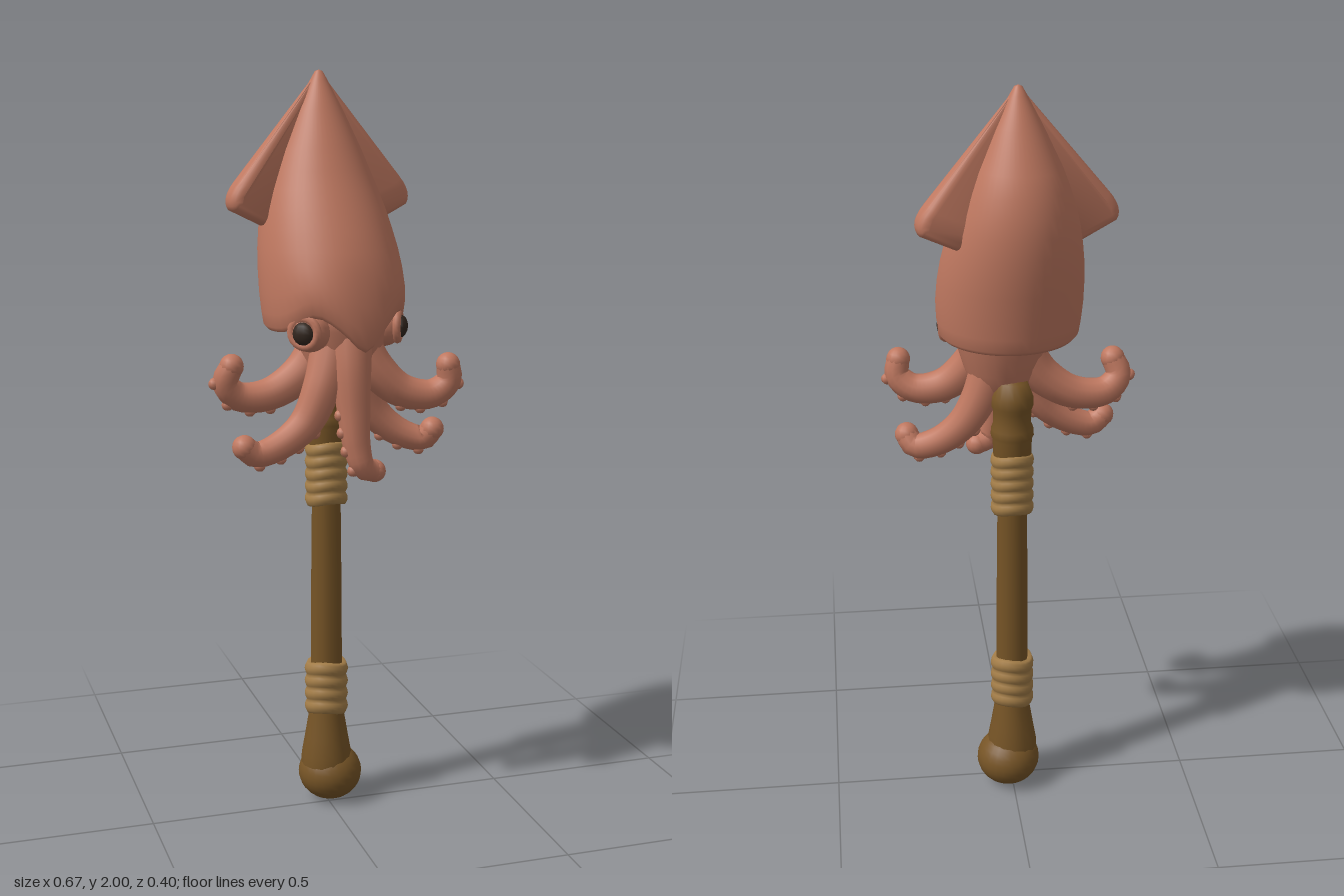
import * as THREE from 'three';
import { mergeVertices, toCreasedNormals } from 'three/addons/utils/BufferGeometryUtils.js';

const mat = (name, color) => {
  const m = new THREE.MeshStandardMaterial({ color });
  m.name = name;
  return m;
};
const skin = mat('salmon skin', 0xbf7860);
const wood = mat('brown wood', 0x765426);
const cord = mat('tan cord', 0xa37d48);
const dark = mat('dark eye', 0x33271f);

const V = (x, y, z) => new THREE.Vector3(x, y, z);

function add(parent, name, geometry, material) {
  const m = new THREE.Mesh(geometry, material);
  m.name = name;
  parent.add(m);
  return m;
}

// Lathe from [radius, y] pairs listed bottom to top, seam at the back
const lathe = (pts, sides = 24) =>
  new THREE.LatheGeometry(pts.map(p => new THREE.Vector2(p[0], p[1])), sides, Math.PI);

// Moves every vertex by a rule, then welds and smooths
function warp(geometry, rule) {
  const p = geometry.attributes.position, v = V(0, 0, 0);
  for (let i = 0; i < p.count; i++) {
    rule(v.fromBufferAttribute(p, i));
    p.setXYZ(i, v.x, v.y, v.z);
  }
  geometry.deleteAttribute('uv');
  geometry.deleteAttribute('normal');
  const g = mergeVertices(geometry, 1e-4);
  g.computeVertexNormals();
  return g;
}

// Leaning pointed mantle with a scalloped rim that dips at the front
function mantleGeometry() {
  const g = lathe([[0.09, 1.39], [0.15, 1.355], [0.172, 1.345], [0.182, 1.356], [0.187, 1.39], [0.19, 1.44],
    [0.188, 1.5], [0.183, 1.55], [0.174, 1.6], [0.163, 1.65], [0.148, 1.7], [0.13, 1.75], [0.11, 1.8],
    [0.062, 1.9], [0.022, 1.975], [0.01, 1.996], [0, 2]], 48);
  return warp(g, v => {
    const a = Math.abs(Math.atan2(v.x, v.z));
    const w = THREE.MathUtils.clamp((1.52 - v.y) / 0.14, 0, 1);
    const lean = -0.055 + 0.078 * THREE.MathUtils.smoothstep(2 - v.y, 0.2, 0.64);
    v.y += w * (0.045 * Math.exp(-(((a - 0.75) / 0.35) ** 2)) - 0.045 * Math.exp(-((a / 0.25) ** 2)));
    v.z += lean;
  });
}

// Thick rounded fin, thinning toward the top
function finGeometry(side) {
  const s = new THREE.Shape();
  s.moveTo(0, 2);
  s.lineTo(side * 0.235, 1.725);
  s.quadraticCurveTo(side * 0.275, 1.68, side * 0.255, 1.65);
  s.lineTo(side * 0.16, 1.605);
  s.lineTo(0, 1.6);
  const g = new THREE.ExtrudeGeometry(s, { depth: 0.02, bevelThickness: 0.025, bevelSize: 0.025,
    bevelOffset: -0.025, bevelSegments: 4, curveSegments: 6 });
  g.translate(0, 0, -0.01);
  const p = g.attributes.position;
  for (let i = 0; i < p.count; i++) {
    p.setZ(i, p.getZ(i) * THREE.MathUtils.clamp((2.02 - p.getY(i)) / 0.25, 0.1, 1));
  }
  return toCreasedNormals(g, 0.9);
}

// Tapered curling arm with a round tip and small suckers underneath
function addArm(parent, name, points, r0, r1) {
  const arm = new THREE.Group();
  arm.name = name;
  parent.add(arm);
  const curve = new THREE.CatmullRomCurve3(points.map(p => V(...p)));
  const n = 28, sides = 12;
  const g = new THREE.TubeGeometry(curve, n, 1, sides);
  const p = g.attributes.position, v = V(0, 0, 0);
  const radius = u => THREE.MathUtils.lerp(r0, r1, u);
  for (let i = 0; i <= n; i++) {
    const c = curve.getPointAt(i / n);
    for (let j = 0; j <= sides; j++) {
      const k = i * (sides + 1) + j;
      v.fromBufferAttribute(p, k).sub(c).multiplyScalar(radius(i / n)).add(c);
      p.setXYZ(k, v.x, v.y, v.z);
    }
  }
  add(arm, 'armBody', warp(g, () => {}), skin);
  add(arm, 'armTip', new THREE.SphereGeometry(r1 * 1.03, 14, 10), skin).position.copy(curve.getPointAt(1));
  const end = points[points.length - 1][0];
  for (const u of [0.56, 0.67, 0.78, 0.89]) {
    const out = curve.getTangentAt(u).cross(V(0, 0, Math.sign(end))).normalize();
    const s = add(arm, 'sucker', new THREE.SphereGeometry(0.016, 8, 6), skin);
    s.position.copy(curve.getPointAt(u)).addScaledVector(out, radius(u) * 0.85);
  }
}

// Lumpy cord binding
function cordGeometry(y0, y1, r, turns) {
  const pts = [[r * 0.7, y0]];
  for (let i = 0; i <= turns * 6; i++) {
    const t = i / (turns * 6);
    pts.push([r - 0.006 + 0.006 * Math.abs(Math.sin(t * turns * Math.PI)), y0 + (y1 - y0) * t]);
  }
  pts.push([r * 0.7, y1]);
  return warp(lathe(pts, 20), v => {
    v.y += 0.006 * Math.sin(Math.atan2(v.x, v.z) * 2 + y0 * 9);
  });
}

export function createModel() {
  const model = new THREE.Group();
  model.name = 'squidMace';

  // Handle
  const handle = new THREE.Group();
  handle.name = 'handle';
  handle.position.set(0, 0, -0.025);
  model.add(handle);
  add(handle, 'shaft', lathe([[0.045, 0.25], [0.044, 0.42], [0.043, 0.6], [0.04, 0.86], [0.045, 1.0]], 12), wood);
  add(handle, 'socket', lathe([[0.04, 0.98], [0.05, 1.0], [0.052, 1.07], [0.057, 1.08], [0.056, 1.1],
    [0.05, 1.115], [0.05, 1.15], [0.056, 1.165], [0.055, 1.19], [0.04, 1.23], [0, 1.24]], 18), wood);
  add(handle, 'upperBinding', cordGeometry(0.86, 1.03, 0.058, 5), cord);
  add(handle, 'lowerBinding', cordGeometry(0.265, 0.41, 0.06, 4), cord);
  add(handle, 'flare', lathe([[0.07, 0.11], [0.069, 0.14], [0.06, 0.19], [0.05, 0.25], [0.045, 0.29]], 14), wood);
  const pommel = add(handle, 'pommel', new THREE.SphereGeometry(0.088, 24, 16), wood);
  pommel.scale.y = 0.9;
  pommel.position.set(0.012, 0.0792, -0.005);

  // Mantle, fins and eyes share a slight turn
  const squid = new THREE.Group();
  squid.name = 'squid';
  squid.rotation.y = 0.2;
  model.add(squid);
  add(squid, 'mantle', mantleGeometry(), skin);
  for (const side of [1, -1]) {
    const fin = add(squid, side > 0 ? 'leftFin' : 'rightFin', finGeometry(side), skin);
    fin.position.z = -0.055;
    const ball = add(squid, 'eyeball', new THREE.SphereGeometry(0.055, 20, 14), skin);
    ball.position.set(side * 0.108, 1.352, 0.098);
    const lid = add(squid, 'eyeRim', new THREE.TorusGeometry(0.036, 0.012, 8, 20), skin);
    lid.position.set(side * 0.137, 1.352, 0.122);
    lid.rotation.y = side * 0.92;
    const pupil = add(squid, 'pupil', new THREE.SphereGeometry(0.03, 10, 8), dark);
    pupil.position.set(side * 0.142, 1.35, 0.126);
    pupil.rotation.y = side * 0.92;
    pupil.scale.z = 0.7;
  }

  // Head
  const head = add(model, 'head', lathe([[0, 1.15], [0.05, 1.165], [0.08, 1.2], [0.1, 1.25], [0.115, 1.3],
    [0.128, 1.35], [0.14, 1.42], [0, 1.46]], 24), skin);
  head.position.set(0.02, 0, 0.04);

  // Five arms
  addArm(model, 'upperRightArm', [[-0.01, 1.33, 0.02], [-0.08, 1.23, 0.02], [-0.17, 1.175, 0.02],
    [-0.255, 1.175, 0.025], [-0.29, 1.215, 0.035], [-0.275, 1.258, 0.045]], 0.06, 0.031);
  addArm(model, 'lowerRightArm', [[-0.01, 1.33, 0.08], [-0.05, 1.21, 0.11], [-0.1, 1.11, 0.115],
    [-0.175, 1.055, 0.12], [-0.235, 1.04, 0.125], [-0.265, 1.062, 0.13]], 0.06, 0.031);
  addArm(model, 'frontArm', [[0.025, 1.36, 0.1], [0.02, 1.25, 0.13], [0.022, 1.14, 0.145],
    [0.028, 1.05, 0.155], [0.045, 0.995, 0.16], [0.078, 0.982, 0.15]], 0.062, 0.029);
  addArm(model, 'upperLeftArm', [[0.04, 1.34, 0.07], [0.1, 1.24, 0.09], [0.17, 1.18, 0.1],
    [0.25, 1.17, 0.11], [0.292, 1.205, 0.12], [0.288, 1.248, 0.125]], 0.06, 0.031);
  addArm(model, 'lowerLeftArm', [[0.03, 1.33, 0.02], [0.08, 1.18, 0.01], [0.13, 1.1, 0.01],
    [0.195, 1.05, 0.02], [0.255, 1.035, 0.035], [0.274, 1.062, 0.05]], 0.06, 0.031);

  return model;
}
